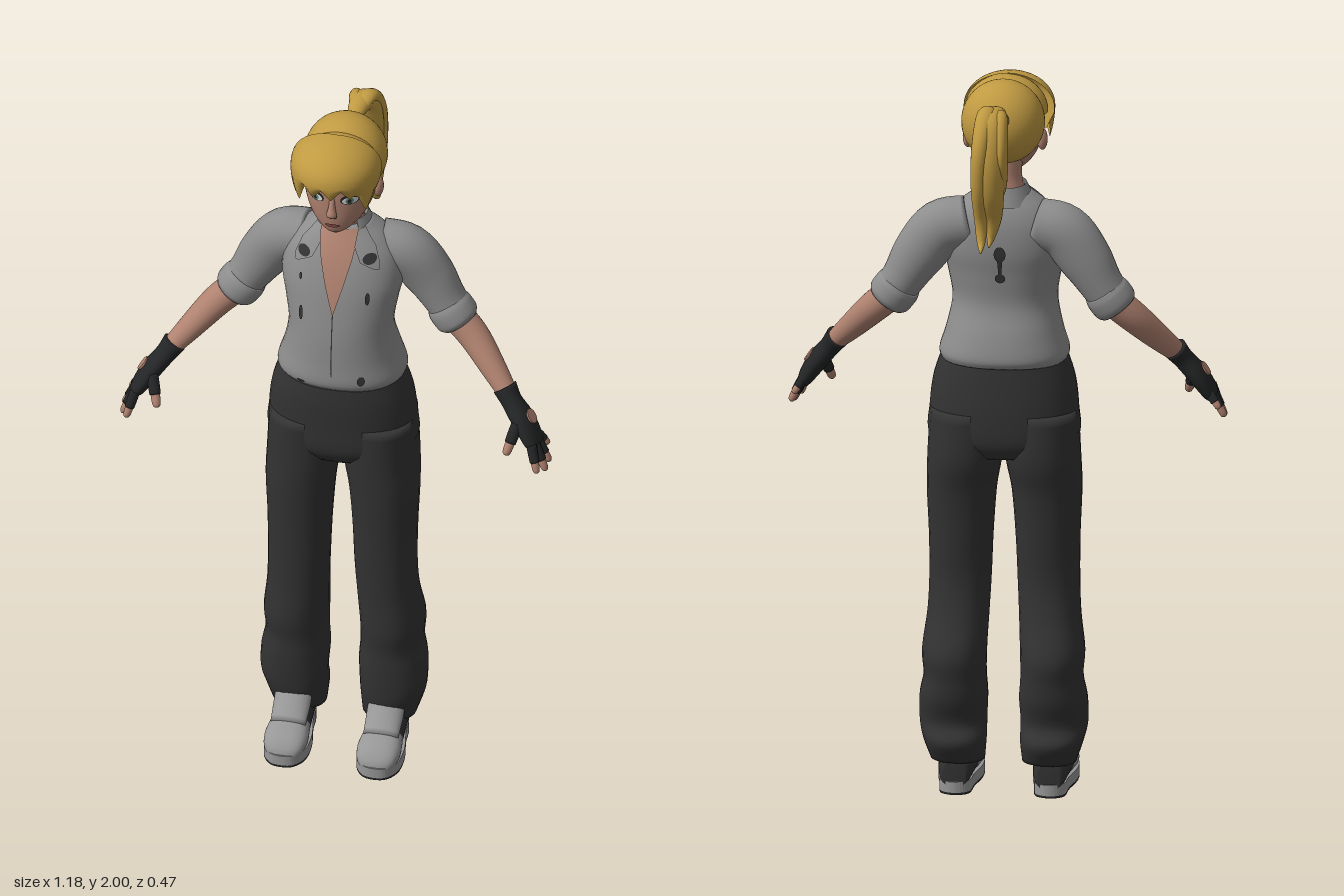
import * as THREE from 'three';

const mat = (name, color) => {
  const m = new THREE.MeshStandardMaterial({ color, side: THREE.DoubleSide });
  m.name = name;
  return m;
};
const V = (x, y, z) => new THREE.Vector3(x, y, z);
const Z = V(0, 0, 1), Y = V(0, 1, 0), X = V(1, 0, 0);

// Smooth surface from fn(i, j); wrap joins the last column to the first.
function grid(rows, cols, fn, wrap = false) {
  const pos = [], idx = [], w = wrap ? cols : cols + 1;
  for (let i = 0; i <= rows; i++) for (let j = 0; j < w; j++) pos.push(...fn(i, j).toArray());
  for (let i = 0; i < rows; i++) for (let j = 0; j < cols; j++) {
    const k = (j + 1) % w, a = i * w + j, b = i * w + k;
    idx.push(a, b, b + w, a, b + w, a + w);
  }
  const g = new THREE.BufferGeometry();
  g.setAttribute('position', new THREE.Float32BufferAttribute(pos, 3));
  g.setIndex(idx);
  g.computeVertexNormals();
  return g;
}

const curves = (rings) => [
  new THREE.CatmullRomCurve3(rings.map(r => V(r[0], r[1], r[2])), false, 'catmullrom'),
  new THREE.CatmullRomCurve3(rings.map(r => V(r[3], r[4], 0)), false, 'catmullrom'),
];

// Loft of rings [x, y, z, radius along ref, radius across]; fixed keeps rings level.
function sweep(rings, { ref = Z, fixed = null, e = 1, segs = 28, sub = 5 } = {}) {
  const [path, size] = curves(rings), n = (rings.length - 1) * sub;
  return grid(n + 2, segs, (i, j) => {
    const t = Math.min(Math.max((i - 1) / n, 0), 1), a = j / segs * Math.PI * 2;
    const c = path.getPoint(t), r = size.getPoint(t), tan = fixed || path.getTangent(t);
    if (i === 0 || i === n + 2) return c;
    const u = ref.clone().addScaledVector(tan, -ref.dot(tan)).normalize();
    const v = tan.clone().cross(u), p = q => Math.sign(q) * Math.abs(q) ** e;
    return c.addScaledVector(u, r.x * p(Math.cos(a))).addScaledVector(v, r.y * p(Math.sin(a)));
  }, true);
}

// Level rings from rows [y, x0, x1, zBack, zFront]
const level = (rows, s = 1) => rows.map(([y, a, b, c, d]) =>
  [s * (a + b) / 2, y, (c + d) / 2, (d - c) / 2, (b - a) / 2]);

// Finds z on the front (side 1) or back (side -1) of a level loft
function surface(rings, e = 1) {
  const [path, size] = curves(rings);
  return (x, y, side = 1) => {
    let lo = 0, hi = 1;
    for (let k = 0; k < 25; k++) {
      const m = (lo + hi) / 2;
      if (path.getPoint(m).y < y) lo = m; else hi = m;
    }
    const c = path.getPoint(lo), r = size.getPoint(lo);
    return c.z + side * r.x * Math.max(0, 1 - Math.abs(x / r.y) ** (2 / e)) ** (e / 2);
  };
}

// Thin plate hugging a surface, from rows [y, x0, x1]
function patch(surf, rows, off, side = 1) {
  const n = (rows.length - 1) * 4;
  return grid(n, 10, (i, j) => {
    const k = Math.min(Math.floor(i / 4), rows.length - 2), f = i / 4 - k;
    const [y, a, b] = rows[k].map((q, m) => q + (rows[k + 1][m] - q) * f);
    const x = a + (b - a) * j / 10;
    return V(x, y, surf(x, y, side) + side * off);
  });
}
const oval = (cx, cy, w, h) => Array.from({ length: 9 }, (_, i) => {
  const a = (i / 8 - 0.5) * Math.PI, d = w * Math.cos(a);
  return [cy + h * Math.sin(a), cx - d, cx + d];
});

export function createModel() {
  const root = new THREE.Group();
  const skin = mat('skin', 0xb08270), hair = mat('hair blonde', 0xc09a42), shirt = mat('shirt grey', 0x8d8d8d),
    trouser = mat('trouser charcoal', 0x333333), glove = mat('glove black', 0x242526), shoe = mat('shoe grey', 0x979797),
    white = mat('eye white', 0xd8d8d4), iris = mat('iris green', 0x5c8a78), lip = mat('lip', 0x8a4f48);
  const add = (name, geo, m, x = 0, y = 0, z = 0) => {
    const o = new THREE.Mesh(geo, m);
    o.name = name;
    o.position.set(x, y, z);
    root.add(o);
    return o;
  };
  const up = { fixed: Y };

  // Shirt body
  const torso = level([[1.215, .168, -.08, .175], [1.24, .174, -.088, .19], [1.3, .156, -.076, .187], [1.38, .141, -.052, .182],
    [1.46, .152, -.058, .17], [1.53, .165, -.068, .155], [1.6, .156, -.066, .132], [1.65, .122, -.052, .108], [1.69, .068, -.028, .085]]
    .map(([y, w, b, f]) => [y, -w, w, b, f]));
  const chest = surface(torso, .9);
  add('shirtBody', sweep(torso, { ...up, e: .9, segs: 40 }), shirt);
  add('openNeckline', patch(chest, [[1.46, -.001, .001], [1.54, -.024, .024], [1.62, -.044, .044], [1.688, -.054, .054]], .005), skin);
  add('collarBand', new THREE.CylinderGeometry(.062, .084, .05, 28, 1, true, .75, Math.PI * 2 - 1.5), shirt, 0, 1.685, .026);
  add('placketSeam', patch(chest, [[1.22, -.0015, .0015], [1.46, -.0015, .0015]], .003), trouser);

  // Dark shirt prints
  for (const [x, y, w, h] of [[-.09, 1.445, .006, .022], [.09, 1.51, .006, .018], [.08, 1.26, .01, .014], [-.085, 1.238, .012, .004], [-.095, 1.55, .004, .01]])
    add('shirtMark', patch(chest, oval(x, y, w, h), .004), trouser);
  add('backMarkTop', patch(chest, oval(0, 1.535, .016, .022), .004, -1), trouser);
  add('backMarkStem', patch(chest, [[1.475, -.004, .004], [1.52, -.007, .007]], .004, -1), trouser);
  add('backMarkDot', patch(chest, oval(0, 1.465, .014, .013), .004, -1), trouser);

  // Hips
  add('trouserHips', sweep(level([[.955, -.13, .13, -.06, .14], [1.0, -.2, .2, -.084, .165], [1.08, -.2, .2, -.087, .171],
    [1.16, -.19, .19, -.08, .175], [1.235, -.166, .166, -.07, .172]]), { ...up, e: .9, segs: 40 }), trouser);

  for (const s of [1, -1]) {
    const side = s > 0 ? 'left' : 'right';
    const put = (n, ...a) => add(side + n, ...a);
    const m = rings => rings.map(([x, ...r]) => [s * x, ...r]);

    // Collar flap and its dark print
    put('CollarFlap', patch(chest, [[1.592, .105, .116], [1.612, .066, .115], [1.65, .047, .1], [1.688, .05, .066]]
      .map(([y, a, b]) => [y, s * a, s * b]), .011), shirt);
    put('CollarMark', patch(chest, oval(s * .09, 1.622, .018, .014), .014), trouser);

    // Trouser leg, rumpled below the knee
    const leg = [[1.08, .005, .198, -.083, .166], [.95, .004, .205, -.083, .16], [.85, .02, .208, -.06, .155], [.72, .03, .203, -.045, .145],
      [.6, .035, .202, -.035, .137], [.5, .04, .206, -.05, .132], [.4, .045, .218, -.084, .132], [.33, .046, .214, -.078, .122],
      [.27, .042, .225, -.07, .12], [.2, .045, .226, -.048, .115], [.15, .045, .215, -.068, .108], [.09, .05, .195, -.036, .085]];
    put('TrouserLeg', sweep(level(leg.reverse(), s), { ...up, e: .92 }), trouser);

    // Sleeve, rolled cuff and forearm
    put('Sleeve', sweep(m([[.09, 1.6, .012, .07, .07], [.165, 1.582, .004, .068, .075], [.22, 1.515, -.003, .06, .072],
      [.262, 1.447, -.003, .055, .06], [.298, 1.39, 0, .053, .055]])), shirt);
    put('Cuff', sweep(m([[.272, 1.428, -.002, .055, .058], [.283, 1.412, 0, .06, .063], [.302, 1.386, .002, .059, .062], [.311, 1.374, .003, .05, .053]])), shirt);
    put('Forearm', sweep(m([[.29, 1.4, 0, .044, .044], [.35, 1.345, .018, .043, .042], [.41, 1.28, .055, .036, .035], [.465, 1.22, .094, .027, .026]])), skin);

    // Fingerless glove with an opening over the knuckles
    put('Glove', sweep(m([[.452, 1.238, .086, .034, .033], [.475, 1.205, .1, .032, .028], [.51, 1.16, .115, .046, .028],
      [.54, 1.112, .13, .047, .022], [.548, 1.097, .134, .038, .015]])), glove);
    const hole = put('GloveOpening', new THREE.CylinderGeometry(.021, .021, .008, 18), skin, s * .531, 1.175, .115);
    hole.quaternion.setFromUnitVectors(Y, V(s * .81, .58, 0).normalize());
    const fingers = [[.543, 1.115, .164, .563, 1.042, .185, .012], [.547, 1.11, .143, .58, 1.032, .153, .012],
      [.547, 1.11, .12, .583, 1.04, .12, .012], [.542, 1.115, .098, .572, 1.073, .086, .011], [.5, 1.165, .145, .477, 1.088, .186, .014]];
    for (const [x0, y0, z0, x1, y1, z1, r] of fingers) {
      const at = (f, q) => [x0 + (x1 - x0) * f, y0 + (y1 - y0) * f, z0 + (z1 - z0) * f, r * q, r * q];
      put('GloveFinger', sweep(m([at(0, 1.15), at(.3, 1.15), at(.6, 1.1)]), { segs: 12 }), glove);
      put('Fingertip', sweep(m([at(.5, .9), at(.8, .88), at(.95, .68), at(1, .3)]), { segs: 12 }), skin);
    }

    // Shoe: sole, dark heel, pale toe and tongue
    const half = [[.036, -.018], [.046, .05], [.06, .13], [.055, .195], [.03, .229]];
    const loop = [V(0, -.034, 0), ...half.map(([x, z]) => V(x, z, 0)), V(0, .236, 0), ...half.slice().reverse().map(([x, z]) => V(-x, z, 0))];
    const outline = new THREE.CatmullRomCurve3(loop, true).getPoints(60).slice(0, -1).map(p => new THREE.Vector2(p.x, -p.y));
    const slab = h => new THREE.ExtrudeGeometry(new THREE.Shape(outline.slice()), { depth: h, bevelEnabled: false }).rotateX(-Math.PI / 2);
    put('SoleBottom', slab(.006), glove, s * .127);
    put('Sole', slab(.03), shoe, s * .127, .006);
    const body = rows => sweep(rows.map(([z, top, w]) => [s * .127, (top + .015) / 2, z, (top - .015) / 2, w]), { ref: Y, fixed: Z, e: .85 });
    put('ShoeHeel', body([[-.028, .09, .03], [-.015, .115, .042], [.03, .13, .048], [.08, .125, .051], [.125, .1, .053]]), trouser);
    put('ShoeToe', body([[.1, .095, .05], [.13, .1, .055], [.17, .09, .059], [.205, .074, .053], [.224, .055, .038], [.232, .04, .018]]), shoe);
    put('ShoeTongue', sweep([[s * .127, .145, .075, .03, .05], [s * .127, .115, .105, .03, .05], [s * .127, .085, .15, .022, .048]]), shoe);

    // Ear
    put('Ear', new THREE.SphereGeometry(1, 16, 12), skin, s * .1, 1.822, .06).scale.set(.014, .03, .02);
  }

  // Head and neck
  add('neck', sweep([[0, 1.64, .028, .045, .07], [0, 1.69, .03, .047, .056], [0, 1.73, .036, .044, .048], [0, 1.79, .042, .045, .05]], up), skin);
  const head = level([[1.713, .016, .105, .146], [1.73, .042, .06, .164], [1.76, .07, .02, .172], [1.8, .09, -.02, .176], [1.85, .099, -.05, .178],
    [1.9, .095, -.058, .174], [1.95, .072, -.03, .145], [1.975, .03, .01, .1]].map(([y, w, b, f]) => [y, -w, w, b, f]));
  const face = surface(head);
  add('head', sweep(head, { ...up, segs: 36 }), skin);
  add('nose', sweep([[0, 1.785, .178, .008, .013], [0, 1.797, .184, .012, .014], [0, 1.82, .179, .01, .009], [0, 1.85, .173, .006, .007]], { ...up, segs: 14 }), skin);
  add('lips', patch(face, oval(0, 1.755, .021, .006), .004), lip);
  for (const s of [1, -1]) {
    add('eyeOutline', patch(face, oval(s * .047, 1.842, .025, .016), .002), glove);
    add('eyeWhite', patch(face, oval(s * .047, 1.84, .02, .011), .004), white);
    add('iris', patch(face, oval(s * .047, 1.841, .01, .011), .006), iris);
    add('pupil', patch(face, oval(s * .047, 1.841, .005, .006), .008), glove);
    add('eyebrow', patch(face, oval(s * .05, 1.869, .024, .004), .003), trouser);
  }

  // Hair cap
  add('hairCap', new THREE.SphereGeometry(1, 40, 28), hair, 0, 1.884, .012).scale.set(.112, .114, .104);
  add('hairCrown', new THREE.SphereGeometry(1, 32, 12, 0, Math.PI * 2, 0, Math.PI / 2), hair, 0, 1.89, .09).scale.set(.112, .098, .085);

  // Swept fringe with pointed strands
  const step = THREE.MathUtils.smoothstep;
  add('fringe', grid(20, 96, (i, j) => {
    const a = (j / 96 - .5) * Math.PI * 1.06, d = Math.abs(a), v = i / 20;
    const tooth = Math.abs(((j + 5) % 14) / 7 - 1);
    const bottom = 1.885 - .055 * step(d, .6, 1.05) + .035 * step(d, 1.25, 1.6) - .026 * tooth;
    const w = Math.max(0, (v - .6) / .4), phi = Math.min(v / .6, 1) * Math.PI / 2;
    const p = Math.sin(phi) * (1 - .13 * w * w) * (1 + .02 * w * tooth);
    const y = w > 0 ? 1.905 - (1.905 - bottom) * w : 1.905 + .088 * Math.cos(phi);
    return V(-.008 + .122 * Math.sin(a) * p, y, .09 + .134 * Math.cos(a) * p);
  }), hair);

  // Ponytail of overlapping locks
  add('hairTie', new THREE.TorusGeometry(.02, .008, 10, 20), hair, 0, 1.92, -.092);
  const locks = [
    [[0, 1.918, -.075, .017, .018], [.004, 1.945, -.115, .028, .022], [.012, 1.93, -.165, .038, .033], [.014, 1.845, -.19, .042, .042],
      [.012, 1.755, -.188, .038, .038], [.008, 1.675, -.162, .026, .028], [.012, 1.62, -.165, .013, .015], [.016, 1.592, -.185, .002, .002]],
    [[.01, 1.935, -.1, .014, .014], [.026, 1.958, -.155, .024, .018], [.036, 1.88, -.207, .024, .026], [.04, 1.77, -.208, .022, .024],
      [.038, 1.67, -.178, .018, .02], [.036, 1.61, -.188, .012, .012], [.034, 1.587, -.22, .002, .002]],
    [[-.006, 1.93, -.1, .012, .014], [-.012, 1.945, -.16, .02, .022], [-.018, 1.86, -.195, .018, .028], [-.016, 1.77, -.175, .016, .022], [-.006, 1.69, -.14, .002, .002]],
  ];
  for (const lock of locks) add('ponytailLock', sweep(lock, { ref: X, segs: 18 }), hair);

  return root;
}
